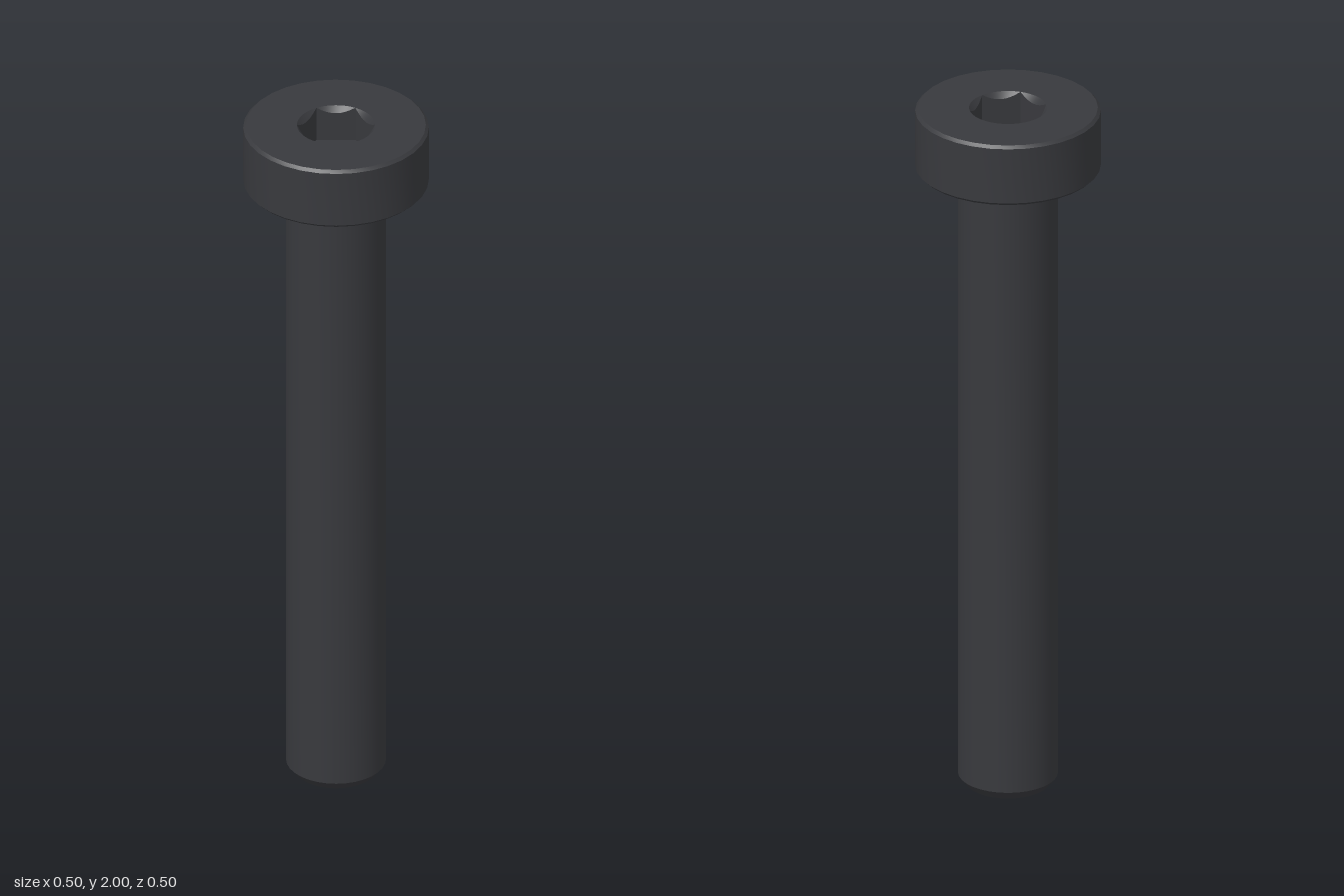
import * as THREE from 'three';
import { toCreasedNormals } from 'three/addons/utils/BufferGeometryUtils.js';

const SIDES = 32, RIM = 48;
const HEAD_R = 0.25, HEAD_BOTTOM = 1.823, TOP = 2, EDGE = 0.008;
const SHAFT_R = 0.135, SOCKET_R = 0.105, SOCKET_DEPTH = 0.1;

export function createModel() {
  const model = new THREE.Group();
  model.name = 'socketHeadScrew';
  const material = new THREE.MeshStandardMaterial({ color: 0x38393d });

  const add = (name, geometry) => {
    const mesh = new THREE.Mesh(toCreasedNormals(geometry, 0.4), material);
    mesh.name = name;
    model.add(mesh);
  };
  const turned = (points) =>
    new THREE.LatheGeometry(points.map(([r, y]) => new THREE.Vector2(r, y)), SIDES);

  // Shaft with a chamfered tip
  add('shaft', turned([[0, 0], [0.113, 0], [SHAFT_R, 0.027], [SHAFT_R, HEAD_BOTTOM]]));

  // Head underside and wall, with broken edges
  add('head', turned([
    [SHAFT_R, HEAD_BOTTOM], [HEAD_R - EDGE, HEAD_BOTTOM], [HEAD_R, HEAD_BOTTOM + EDGE],
    [HEAD_R, TOP - EDGE], [HEAD_R - EDGE, TOP],
  ]));

  // Flat top of the head around the socket
  const circle = (radius, count) => Array.from({ length: count }, (_, i) => {
    const a = (i / count) * Math.PI * 2;
    return new THREE.Vector2(Math.cos(a) * radius, Math.sin(a) * radius);
  });
  const face = new THREE.Shape(circle(HEAD_R - EDGE, SIDES));
  face.holes.push(new THREE.Path(circle(SOCKET_R, RIM)));
  add('headTop', new THREE.ShapeGeometry(face).rotateX(-Math.PI / 2).translate(0, TOP, 0));

  // Hexagon radius at an angle, with corners on the x axis
  const hexRadius = (a) => {
    const third = Math.PI / 3;
    const offset = (((a % third) + third) % third) - third / 2;
    return SOCKET_R * Math.cos(third / 2) / Math.cos(offset);
  };

  // Band of inward-facing quads between two closed loops
  const band = (upper, lower) => {
    const positions = [];
    for (let i = 0; i < RIM; i++) {
      const a = (i / RIM) * Math.PI * 2, b = ((i + 1) / RIM) * Math.PI * 2;
      const [ua, ub, la, lb] = [upper(a), upper(b), lower(a), lower(b)];
      positions.push(...ua, ...la, ...ub, ...ub, ...la, ...lb);
    }
    const geometry = new THREE.BufferGeometry();
    geometry.setAttribute('position', new THREE.Float32BufferAttribute(positions, 3));
    geometry.computeVertexNormals();
    return geometry;
  };
  const ring = (radius, y) => (a) =>
    [Math.cos(a) * radius(a), y(a), Math.sin(a) * radius(a)];

  // Conical lead-in, hexagonal walls and floor of the socket
  const rim = ring(() => SOCKET_R, () => TOP);
  const arcs = ring(hexRadius, (a) => TOP - (SOCKET_R - hexRadius(a)) * 1.2);
  const base = ring(hexRadius, () => TOP - SOCKET_DEPTH);
  add('socketLeadIn', band(rim, arcs));
  add('socketWalls', band(arcs, base));
  add('socketFloor', new THREE.CircleGeometry(SOCKET_R, 6)
    .rotateX(-Math.PI / 2).translate(0, TOP - SOCKET_DEPTH, 0));

  return model;
}
